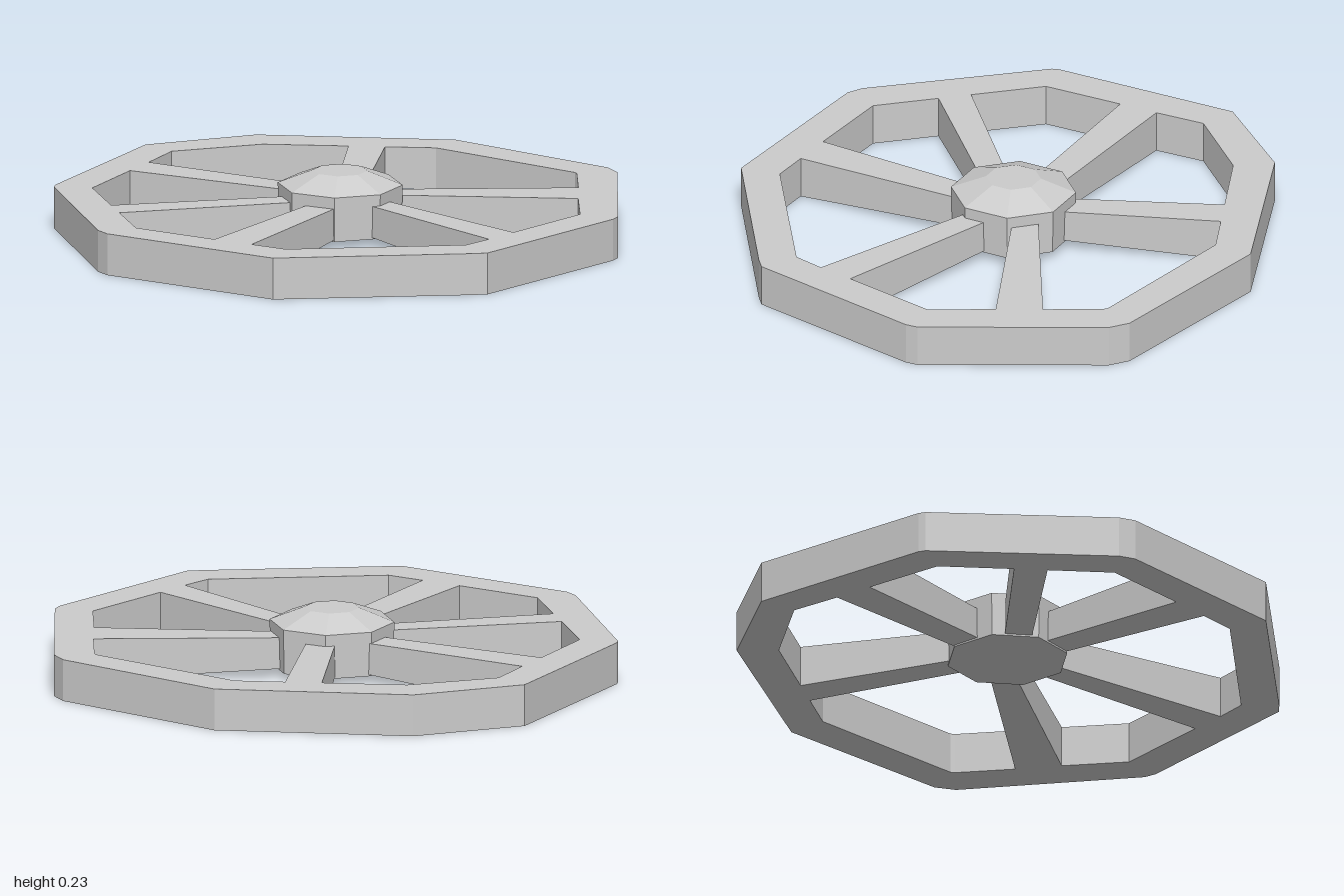
import * as THREE from 'three';
import { ConvexGeometry } from 'three/addons/geometries/ConvexGeometry.js';

const RIM_TOP = 0.147;

// Plan outlines as [x, z]
const OUTER = [
  [-0.03, -1], [0.36, -0.87], [0.84, -0.37], [0.98, 0.285], [0.96, 0.36],
  [0.54, 0.87], [0.5, 0.89], [-0.155, 1], [-0.2, 0.975], [-0.775, 0.585],
  [-0.983, -0.06], [-0.975, -0.12], [-0.675, -0.72], [-0.655, -0.737],
];
const INNER = [
  [-0.025, -0.865], [0.285, -0.745], [0.495, -0.535], [0.585, -0.445], [0.71, -0.32],
  [0.845, 0.27], [0.84, 0.285], [0.71, 0.45], [0.605, 0.575], [0.46, 0.76],
  [0.11, 0.82], [-0.02, 0.845], [-0.135, 0.86], [-0.655, 0.51], [-0.7, 0.38],
  [-0.75, 0.24], [-0.85, -0.065], [-0.75, -0.275], [-0.7, -0.38], [-0.585, -0.62],
  [-0.32, -0.735], [-0.19, -0.79],
];
// Each spoke: two corners at the hub, two at the rim
const SPOKES = [
  [[-0.09, -0.175], [0.025, -0.2], [-0.19, -0.79], [-0.32, -0.735]],
  [[0.125, -0.155], [0.2, -0.07], [0.585, -0.445], [0.495, -0.535]],
  [[0.215, 0.055], [0.165, 0.145], [0.605, 0.575], [0.71, 0.45]],
  [[0.08, 0.19], [-0.02, 0.21], [-0.02, 0.845], [0.11, 0.82]],
  [[-0.14, 0.165], [-0.2, 0.06], [-0.75, 0.24], [-0.7, 0.38]],
  [[-0.21, -0.01], [-0.165, -0.105], [-0.7, -0.38], [-0.75, -0.275]],
];

const toPlan = (pts) => pts.map(([x, z]) => new THREE.Vector2(x, -z));

function spokeGeometry(corners) {
  const points = [];
  corners.forEach(([x, z], i) => {
    const atHub = i < 2;
    const k = atHub ? 0.9 : 1; // sink the inner end into the hub
    points.push(new THREE.Vector3(x * k, atHub ? 0.037 : 0, z * k));
    points.push(new THREE.Vector3(x * k, RIM_TOP, z * k));
  });
  return new ConvexGeometry(points);
}

export function createModel() {
  const group = new THREE.Group();
  const material = new THREE.MeshStandardMaterial({ color: 0xcccccc, flatShading: true });
  const add = (name, geometry) => {
    const mesh = new THREE.Mesh(geometry, material);
    mesh.name = name;
    group.add(mesh);
    return mesh;
  };

  // Irregular rim; the hole winds opposite to the outline so its walls face inward
  const outline = new THREE.Shape(toPlan(OUTER));
  outline.holes.push(new THREE.Path(toPlan(INNER).reverse()));
  const rim = new THREE.ExtrudeGeometry(outline, { depth: RIM_TOP, bevelEnabled: false });
  rim.rotateX(-Math.PI / 2);
  add('rim', rim);

  // Tapered spokes
  SPOKES.forEach((corners, i) => add(`spoke${i + 1}`, spokeGeometry(corners)));

  // Eight-sided hub with a sloped cap, its underside raised above the rim's
  const profile = [[0, 0.03], [0.213, 0.03], [0.217, 0.187], [0.095, 0.235], [0, 0.235]];
  const hub = add('hub', new THREE.LatheGeometry(profile.map(([r, y]) => new THREE.Vector2(r, y)), 8));
  hub.position.set(0.007, 0, 0.008);

  return group;
}
